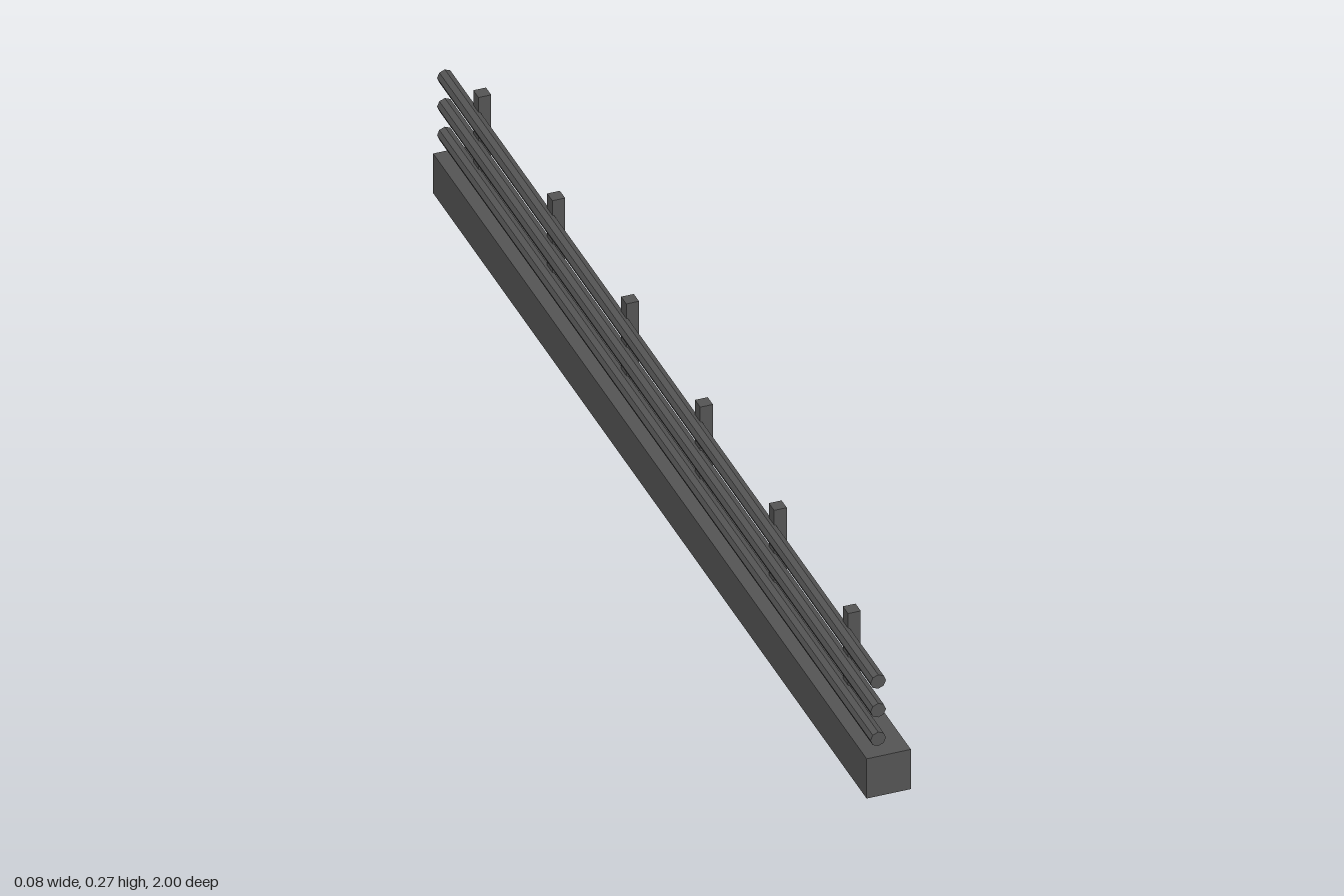
import * as THREE from 'three';

export function createModel() {
  const group = new THREE.Group();
  const darkGrey = new THREE.MeshStandardMaterial({ color: 0x555555, flatShading: true });
  darkGrey.name = 'darkGrey';

  const add = (name, geometry, x, y, z) => {
    const mesh = new THREE.Mesh(geometry, darkGrey);
    mesh.name = name;
    mesh.position.set(x, y, z);
    group.add(mesh);
  };

  // Long kerb the railing stands on
  const kerbHeight = 0.08;
  add('kerb', new THREE.BoxGeometry(0.08, kerbHeight, 2), 0, kerbHeight / 2, 0);

  // Six square posts, evenly spaced
  const postTop = 0.271;
  const postHeight = postTop - kerbHeight;
  const postGeometry = new THREE.BoxGeometry(0.023, postHeight, 0.024);
  for (let i = 0; i < 6; i++) {
    add(`post${i + 1}`, postGeometry, -0.001, kerbHeight + postHeight / 2, 0.832 - i * 0.341);
  }

  // Three eight-sided rails along the right side of the posts
  const railGeometry = new THREE.CylinderGeometry(0.014, 0.014, 2, 8).rotateX(Math.PI / 2);
  for (let i = 0; i < 3; i++) {
    add(`rail${i + 1}`, railGeometry, -0.019, 0.115 + i * 0.0577, 0);
  }

  return group;
}
